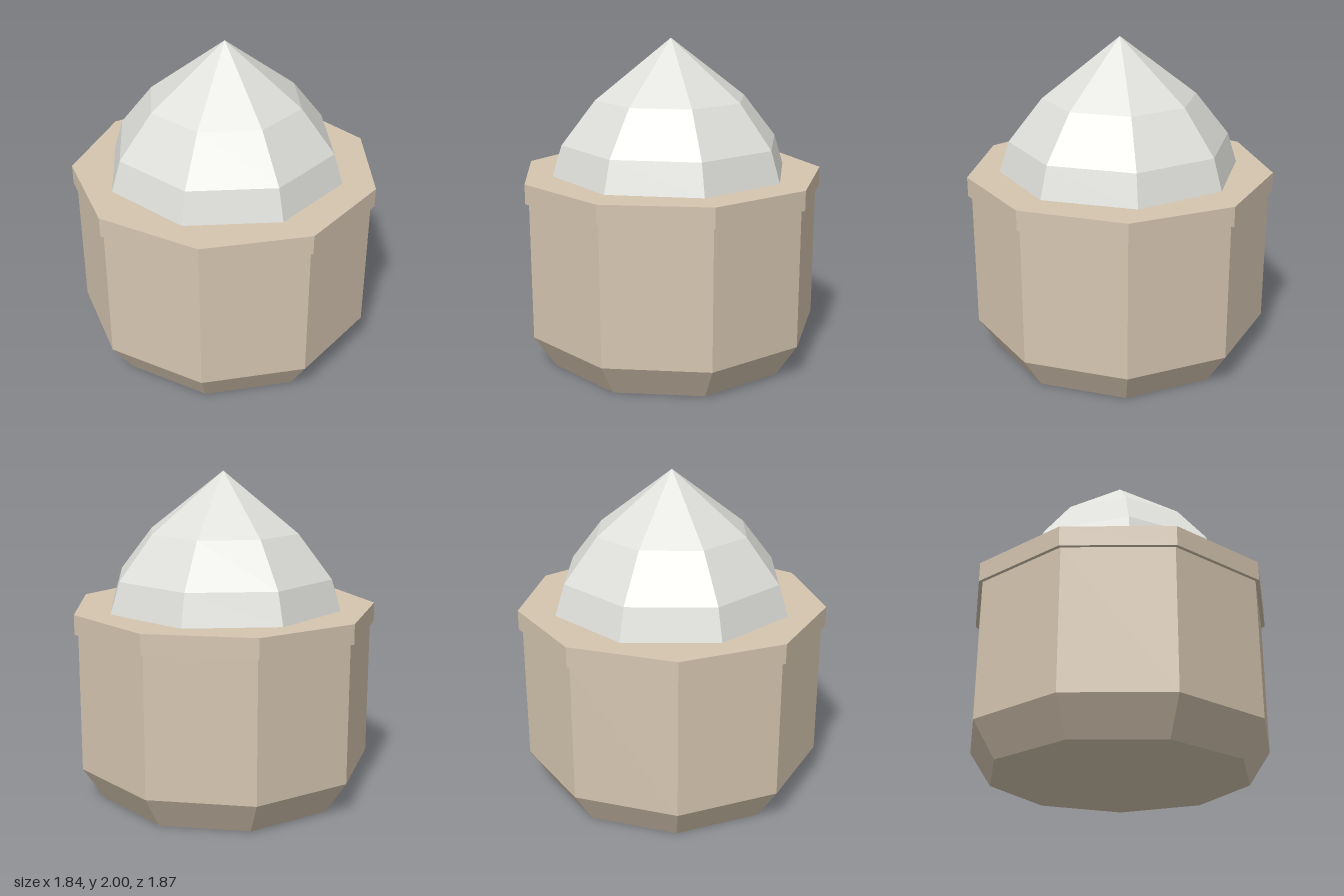
import * as THREE from 'three';

// Faceted solid of revolution with a corner pointing along +x
function faceted(name, profile, sides, material) {
  const points = profile.map(([r, y]) => new THREE.Vector2(r, y));
  const geometry = new THREE.LatheGeometry(points, sides, Math.PI / 2).toNonIndexed();
  geometry.computeVertexNormals(); // flat facets
  const mesh = new THREE.Mesh(geometry, material);
  mesh.name = name;
  return mesh;
}

export function createModel() {
  const stone = new THREE.MeshStandardMaterial({ color: 0xd5c5b0 });
  stone.name = 'warm stone';
  const roof = new THREE.MeshStandardMaterial({ color: 0xdedfda });
  roof.name = 'pale grey';

  const model = new THREE.Group();
  model.name = 'domedTower';

  // Nine-sided wall, chamfered at the foot
  model.add(faceted('wall', [[0, 0], [0.788, 0], [0.925, 0.21], [0.925, 1.06]], 9, stone));

  // Overhanging rim, closed above and below
  model.add(faceted('rim', [[0, 1.06], [0.948, 1.06], [0.948, 1.18], [0, 1.18]], 9, stone));

  // Eight-sided pointed dome
  model.add(faceted('dome', [[0.745, 1.18], [0.685, 1.37], [0.475, 1.635], [0, 2]], 8, roof));

  // An odd number of sides puts the axis slightly off centre
  model.children.forEach((part) => { part.position.x = -0.029; });
  return model;
}
